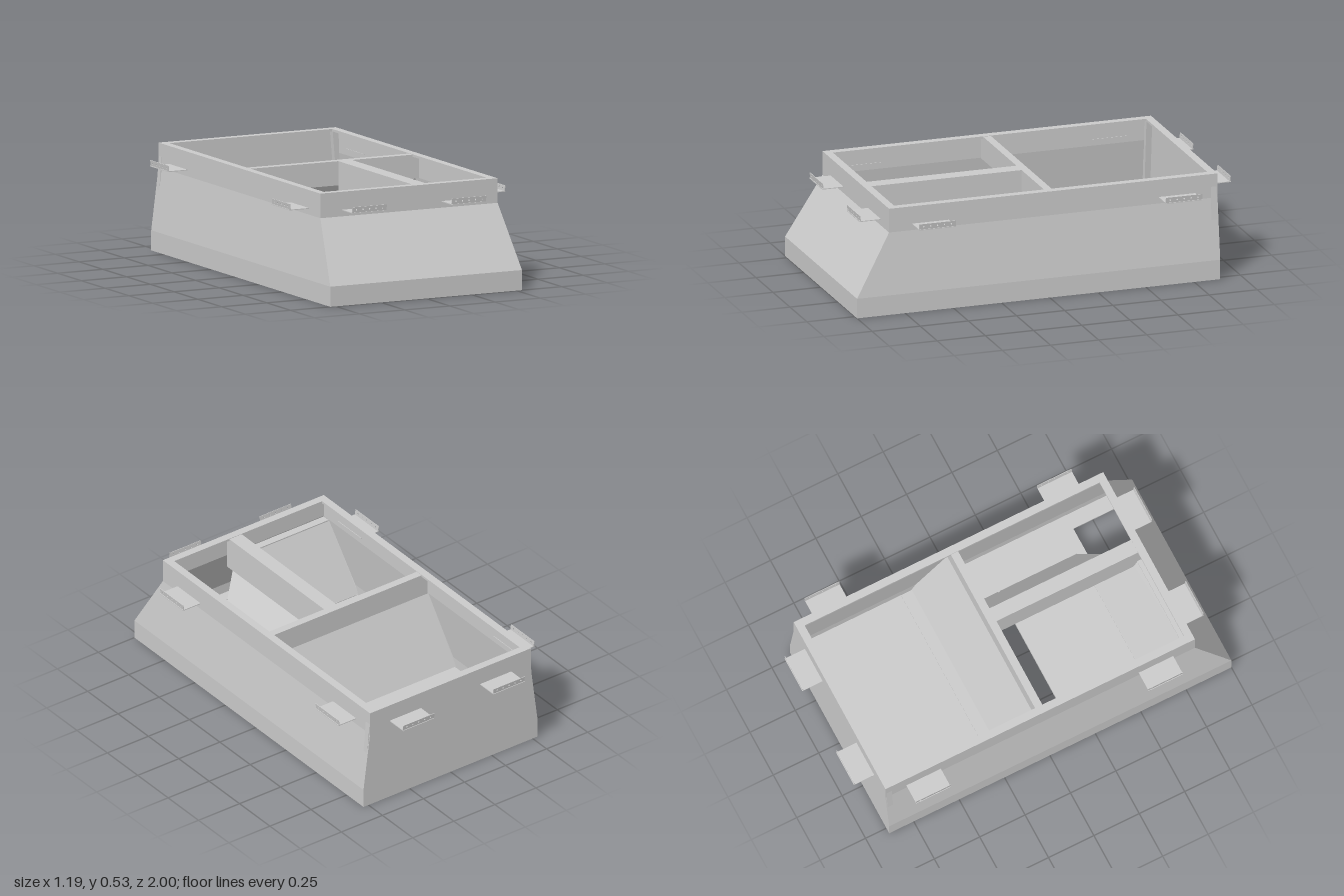
import * as THREE from 'three';

const mat = new THREE.MeshStandardMaterial({ color: 0xcccccc, flatShading: true, side: THREE.DoubleSide });

function add(parent, name, geo) {
  const mesh = new THREE.Mesh(geo, mat);
  mesh.name = name;
  parent.add(mesh);
  return mesh;
}

// Box given by its limits
function box(parent, name, [x0, x1], [y0, y1], [z0, z1]) {
  const m = add(parent, name, new THREE.BoxGeometry(x1 - x0, y1 - y0, z1 - z0));
  m.position.set((x0 + x1) / 2, (y0 + y1) / 2, (z0 + z1) / 2);
  return m;
}

// Flat convex sheet through the given corners
function sheet(parent, name, corners) {
  const g = new THREE.BufferGeometry();
  const idx = [];
  for (let i = 1; i < corners.length - 1; i++) idx.push(0, i, i + 1);
  g.setAttribute('position', new THREE.Float32BufferAttribute(corners.flat(), 3));
  g.setIndex(idx);
  g.computeVertexNormals();
  return add(parent, name, g);
}

const trace = (path, [x0, x1], [z0, z1]) => {
  path.moveTo(x0, z0);
  path.lineTo(x1, z0);
  path.lineTo(x1, z1);
  path.lineTo(x0, z1);
  path.closePath();
  return path;
};

// Horizontal plate with rectangular openings, top at height y
function plate(parent, name, xs, zs, holes, y, t) {
  const s = trace(new THREE.Shape(), xs, zs);
  for (const [hx, hz] of holes) s.holes.push(trace(new THREE.Path(), hx, hz));
  const g = new THREE.ExtrudeGeometry(s, { depth: t, bevelEnabled: false });
  g.rotateX(Math.PI / 2);
  g.translate(0, y, 0);
  return add(parent, name, g);
}

// Wall sections: height, half width, front z
const BACK = -0.885;
const SECTIONS = [[0.05, 0.53, 1], [0.1, 0.53, 1], [0.41, 0.49, 0.82], [0.53, 0.49, 0.82]];

function shell(parent) {
  const pos = [], idx = [];
  for (const [y, h, f] of SECTIONS) pos.push(h, y, f, h, y, BACK, -h, y, BACK, -h, y, f);
  for (let r = 0; r < SECTIONS.length - 1; r++) {
    for (let i = 0; i < 4; i++) {
      const a = r * 4 + i, b = r * 4 + (i + 1) % 4;
      idx.push(a, b, b + 4, a, b + 4, a + 4);
    }
  }
  const g = new THREE.BufferGeometry();
  g.setAttribute('position', new THREE.Float32BufferAttribute(pos, 3));
  g.setIndex(idx);
  const flat = g.toNonIndexed();
  flat.computeVertexNormals();
  add(parent, 'outerWalls', flat);
}

// Ledge with an upturned, perforated lip; points along +z from its origin
function bracket(parent, name, x, z, angle, reach) {
  const b = new THREE.Group();
  b.name = name;
  box(b, 'bracketLedge', [-0.095, 0.095], [0.439, 0.443], [0, reach]);
  const s = trace(new THREE.Shape(), [-0.095, 0.095], [0, 0.031]);
  for (let i = -2; i <= 2; i++) {
    const hole = new THREE.Path();
    hole.absarc(i * 0.036, 0.017, 0.004, 0, Math.PI * 2, true);
    s.holes.push(hole);
  }
  const lip = add(b, 'bracketLip', new THREE.ExtrudeGeometry(s, { depth: 0.003, bevelEnabled: false, curveSegments: 5 }));
  lip.position.set(0, 0.44, reach - 0.007);
  lip.rotation.x = 0.12;
  b.position.set(x, 0, z);
  b.rotation.y = angle;
  parent.add(b);
}

export function createModel() {
  const model = new THREE.Group();
  model.name = 'hopperBody';

  // Outer walls, base skirt and top rim
  shell(model);
  plate(model, 'baseSkirt', [-0.53, 0.53], [BACK, 1], [[[-0.515, 0.515], [BACK + 0.015, 0.985]]], 0.05, 0.05);
  plate(model, 'topRim', [-0.49, 0.49], [BACK, 0.82], [[[-0.45, 0.45], [-0.845, 0.78]]], 0.532, 0.012);

  // Floor with the middle and front openings
  plate(model, 'floor', [-0.525, 0.525], [BACK + 0.005, 0.995],
    [[[-0.45, 0.33], [-0.24, 0.155]], [[-0.45, 0.45], [0.635, 0.94]]], 0.054, 0.008);

  // Beams that divide the top into three compartments
  box(model, 'crossBeam', [-0.485, 0.485], [0.41, 0.53], [-0.04, 0]);
  box(model, 'lengthBeam', [0.04, 0.115], [0.36, 0.53], [0, 0.8]);

  // Sloping partitions
  sheet(model, 'rearPartition', [
    [-0.49, 0.41, -0.04], [0.49, 0.41, -0.04], [0.53, 0.1, -0.192], [0.53, 0.054, -0.215],
    [-0.53, 0.054, -0.215], [-0.53, 0.1, -0.192]]);
  sheet(model, 'frontPartition', [
    [-0.49, 0.41, 0.78], [0.085, 0.41, 0.78], [0.115, 0.36, 0.753], [0.325, 0.054, 0.59],
    [-0.53, 0.054, 0.59], [-0.53, 0.1, 0.614]]);
  sheet(model, 'sidePartition', [
    [0.115, 0.36, -0.06], [0.115, 0.36, 0.753], [0.325, 0.054, 0.59], [0.325, 0.054, -0.21]]);
  box(model, 'frontPartitionTop', [-0.485, 0.04], [0.405, 0.411], [0.775, 0.815]);

  // Folded feet of the partitions
  box(model, 'rearFoot', [-0.52, 0.52], [0.052, 0.058], [-0.275, -0.215]);
  box(model, 'frontFoot', [-0.52, 0.37], [0.052, 0.058], [0.59, 0.635]);
  box(model, 'sideFoot', [0.325, 0.37], [0.052, 0.058], [-0.2, 0.635]);
  box(model, 'openingLip', [-0.45, 0.33], [0.04, 0.058], [0.155, 0.165]);

  // Leaning posts in the rear corners
  for (const s of [1, -1]) {
    const post = add(model, 'cornerPost', new THREE.BoxGeometry(0.03, 0.47, 0.03));
    const p = post.geometry.attributes.position;
    for (let i = 0; i < p.count; i++) if (p.getY(i) < 0) p.setX(i, p.getX(i) + s * 0.04);
    post.position.set(s * 0.47, 0.29, BACK + 0.02);
  }

  // Mounting brackets, two per side
  for (const x of [-0.275, 0.275]) {
    bracket(model, 'frontBracket', x, 0.82, 0, 0.11);
    bracket(model, 'backBracket', x, BACK, Math.PI, 0.112);
  }
  for (const z of [-0.675, 0.605]) {
    bracket(model, 'leftBracket', 0.487, z, Math.PI / 2, 0.11);
    bracket(model, 'rightBracket', -0.487, z, -Math.PI / 2, 0.11);
  }
  return model;
}
